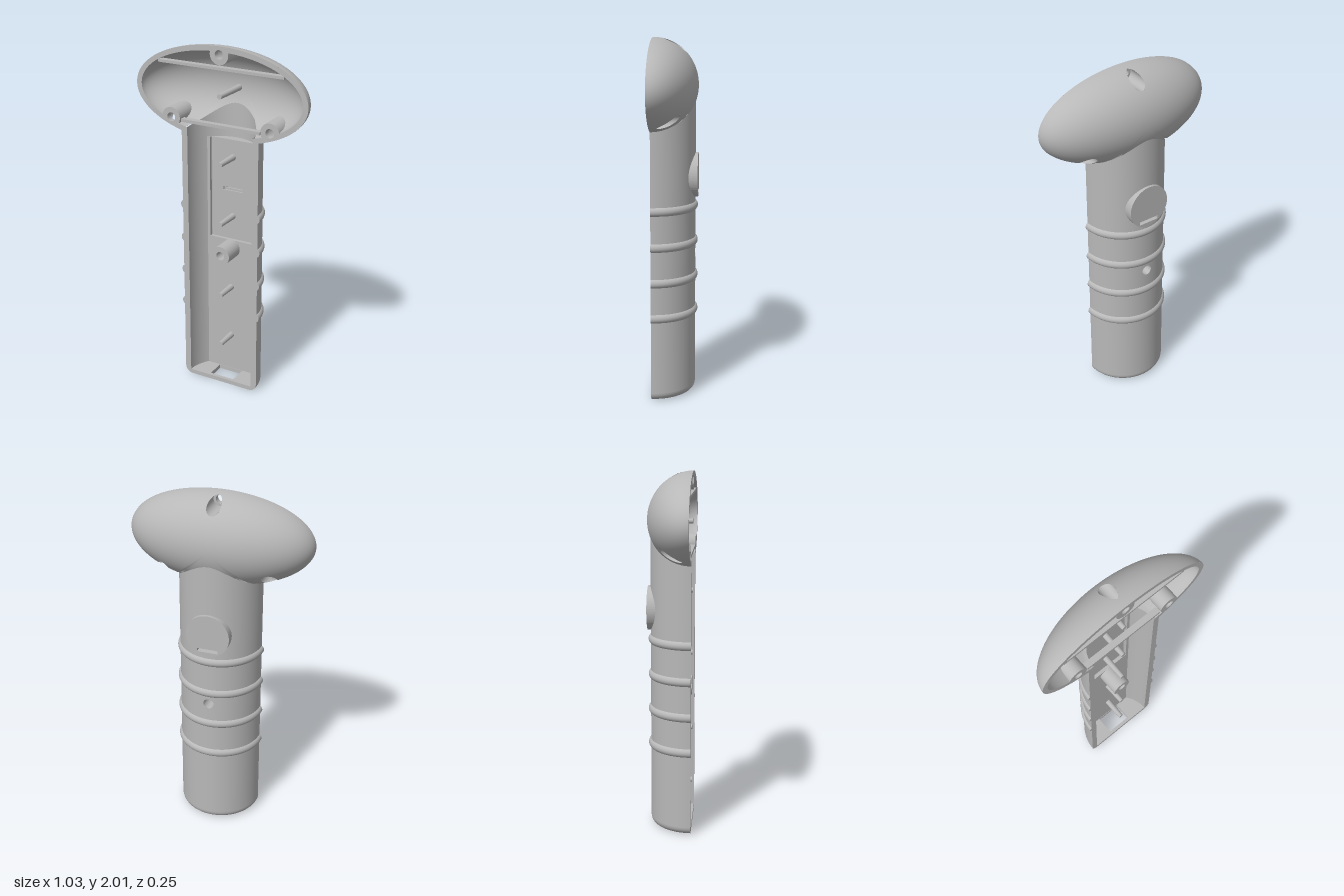
import * as THREE from 'three';
import { mergeVertices } from 'three/addons/utils/BufferGeometryUtils.js';

const FRONT = 0.125;                 // z of the open front plane; depth d is measured back from it
const HEAD_Y = 1.742;
const OUT = { rx: 0.515, ry: 0.258, rz: 0.25, r: 0.235 };   // head radii and handle radius
const INN = { rx: 0.485, ry: 0.229, rz: 0.22, r: 0.2 };
const FLOOR = 0.13, RECESS = 0.15, PLATE_BACK = 0.16;
const HEAD_SCREWS = [[-0.3, 1.577], [0.3, 1.577], [0, 1.955]];
const GRIP_SCREW = [[0, 0.81]];

const range = (a, b, n) => Array.from({ length: n + 1 }, (_, i) => a + (b - a) * i / n);
const headDepth = (e, x, y) =>
  e.rz * Math.sqrt(Math.max(0, 1 - (x / e.rx) ** 2 - ((y - HEAD_Y) / e.ry) ** 2));
const tubeDepth = (e, x) => Math.sqrt(Math.max(0, e.r ** 2 - x ** 2));

// Grid surface from fn(u, v) -> [x, y, depth]; round holes are cut cleanly by
// pushing the inner points of edge cells out onto each circle.
function grid(us, vs, fn, { holes = [], radius = 0, depth = () => 0, skip = () => false } = {}) {
  const pos = [], inside = [], idx = [];
  for (const v of vs) for (const u of us) {
    let [x, y, d] = fn(u, v);
    let hit = false;
    for (const [cx, cy] of holes) {
      const l = Math.hypot(x - cx, y - cy);
      if (l < radius && d >= 0) {
        const k = radius / Math.max(l, 1e-5);
        x = cx + (x - cx) * k;
        y = cy + (y - cy) * k;
        d = depth(x, y);
        hit = true;
      }
    }
    pos.push(x, y, FRONT - d);
    inside.push(hit);
  }
  const w = us.length;
  for (let j = 0; j < vs.length - 1; j++) for (let i = 0; i < w - 1; i++) {
    const a = j * w + i, b = a + 1, c = a + w, e = c + 1;
    if (inside[a] && inside[b] && inside[c] && inside[e]) continue;
    if (skip((pos[3 * a] + pos[3 * e]) / 2, (pos[3 * a + 1] + pos[3 * e + 1]) / 2)) continue;
    idx.push(a, b, e, a, e, c);
  }
  const g = new THREE.BufferGeometry();
  g.setAttribute('position', new THREE.Float32BufferAttribute(pos, 3));
  g.setIndex(idx);
  const m = mergeVertices(g, 1e-5);
  m.computeVertexNormals();
  return m;
}

// Half ellipsoid, trimmed where the handle joins it
function headSurface(e, radius) {
  return grid(range(0, 2 * Math.PI, 180), range(0, 1, 70), (a, v) => {
    let s = 1;
    const den = e.rz ** 2 - (e.rx * Math.cos(a)) ** 2;
    if (Math.sin(a) < 0 && den > 0) s = Math.min(1, Math.sqrt((e.rz ** 2 - e.r ** 2) / den));
    const p = v * Math.asin(s);
    return [e.rx * Math.sin(p) * Math.cos(a), HEAD_Y + e.ry * Math.sin(p) * Math.sin(a), e.rz * Math.cos(p)];
  }, { holes: HEAD_SCREWS, radius, depth: (x, y) => headDepth(e, x, y) });
}

// Half tube running up to the head surface
function handleSurface(e, y0) {
  const rows = [y0, 0.4, ...range(0.76, 0.86, 14), ...range(1.1, 1.2, 20), 1.4, 2];
  return grid(range(-Math.PI / 2, Math.PI / 2, 96), rows, (t, y) => {
    const x = e.r * Math.sin(t), d = e.r * Math.cos(t);
    const top = HEAD_Y - e.ry * Math.sqrt(Math.max(0, 1 - (x / e.rx) ** 2 - (d / e.rz) ** 2));
    return [x, y > 1.9 ? top : y, d];
  }, {
    holes: GRIP_SCREW, radius: 0.03, depth: x => tubeDepth(e, x),
    skip: (x, y) => Math.abs(x) < 0.062 && Math.abs(y - 1.16) < 0.012,
  });
}

// Cylinder wall along z between two depth rules
const wall = (cx, cy, r, d0, d1) => grid(range(0, 2 * Math.PI, 40), [0, 1], (a, v) => {
  const x = cx + r * Math.cos(a), y = cy + r * Math.sin(a);
  return [x, y, v ? d1(x, y) : d0];
});

// Flat ring, kept within the head outline when asked
const ring = (cx, cy, r0, r1, d, clip) => grid(range(0, 2 * Math.PI, 40), [r0, r1], (a, r) => {
  const x = cx + r * Math.cos(a), y = cy + r * Math.sin(a);
  const k = clip ? Math.max(1, Math.hypot(x / OUT.rx, (y - HEAD_Y) / OUT.ry)) : 1;
  return [x / k, HEAD_Y + (y - HEAD_Y) / k, d];
});

const polygon = pts => new THREE.Shape(pts.map(p => new THREE.Vector2(...p)));
const rect = (x0, y0, x1, y1) => polygon([[x0, y0], [x1, y0], [x1, y1], [x0, y1]]);

// Flat plate between two depths
function plate(shape, d0, d1) {
  const g = new THREE.ExtrudeGeometry(shape, { depth: d1 - d0, bevelEnabled: false, curveSegments: 32 });
  return g.translate(0, 0, FRONT - d1);
}

export function createModel() {
  const model = new THREE.Group();
  const grey = new THREE.MeshStandardMaterial({ color: 0xb8b8b8, side: THREE.DoubleSide });
  grey.name = 'grey plastic';
  const add = (name, geometry) => {
    const m = new THREE.Mesh(geometry, grey);
    m.name = name;
    model.add(m);
    return m;
  };

  // Shell surfaces
  add('headOuter', headSurface(OUT, 0.038));
  add('headInner', headSurface(INN, 0.04));
  add('handleOuter', handleSurface(OUT, 0.045));
  add('handleInner', handleSurface(INN, 0.02));

  // Front edges of head and handle
  const a0 = Math.acos(INN.r / INN.rx);
  add('headRim', grid(range(-a0, Math.PI + a0, 240), range(0, 1, 5), (a, v) => [
    (INN.rx + (OUT.rx - INN.rx) * v) * Math.cos(a),
    HEAD_Y + (INN.ry + (OUT.ry - INN.ry) * v) * Math.sin(a), 0,
  ], { holes: HEAD_SCREWS, radius: 0.025 }));
  const rim = new THREE.Shape();
  rim.moveTo(-0.235, 1.512).lineTo(-0.235, 0.045);
  rim.absarc(-0.19, 0.045, 0.045, Math.PI, 1.5 * Math.PI);
  rim.absarc(0.19, 0.045, 0.045, 1.5 * Math.PI, 2 * Math.PI);
  rim.lineTo(0.235, 1.512).lineTo(0.2, 1.532).lineTo(0.2, 0.025).lineTo(-0.2, 0.025).lineTo(-0.2, 1.532);
  add('handleRim', new THREE.ShapeGeometry(rim).translate(0, 0, FRONT));

  // Rounded bottom edge, and end plate with a cable opening
  const halfLathe = pts => new THREE.LatheGeometry(pts, 64, Math.PI / 2, Math.PI).translate(0, 0, FRONT);
  add('bottomEdge', halfLathe(range(-Math.PI / 2, 0, 10).map(a =>
    new THREE.Vector2(0.19 + 0.045 * Math.cos(a), 0.045 + 0.045 * Math.sin(a)))));
  const end = new THREE.Shape();
  end.absarc(0, 0, 0.2, 0, Math.PI);
  end.holes.push(rect(-0.075, 0.02, 0.075, FLOOR - 0.002));
  add('endPlate', new THREE.ExtrudeGeometry(end, { depth: 0.024, bevelEnabled: false, curveSegments: 48 })
    .rotateX(-Math.PI / 2).translate(0, 0.001, FRONT));

  // Grip bands
  for (const y of [0.48, 0.68, 0.88, 1.08]) {
    add('gripBand', halfLathe(range(-1.4, 1.4, 14).map(a =>
      new THREE.Vector2(0.22 + 0.028 * Math.cos(a), y + 0.028 * Math.sin(a)))));
    for (const s of [-1, 1]) {
      add('gripBandEnd', new THREE.CircleGeometry(0.028, 24, s > 0 ? -Math.PI / 2 : Math.PI / 2, Math.PI)
        .translate(s * 0.22, y, FRONT));
    }
  }

  // Flat floor inside the handle, with a recess holding a slot
  const floor = polygon([[-0.154, 0.02], [0.154, 0.02], [0.154, 1.45], [0.135, 1.45],
    [0.135, 0.86], [-0.135, 0.86], [-0.135, 1.45], [-0.154, 1.45]]);
  floor.holes.push(new THREE.Path().absarc(0, 0.81, 0.025, 0, 2 * Math.PI));
  add('handleFloor', plate(floor, FLOOR, PLATE_BACK));
  const recess = rect(-0.14, 0.855, 0.14, 1.45);
  recess.holes.push(rect(-0.06, 1.15, 0.06, 1.17));
  add('recessFloor', plate(recess, RECESS, PLATE_BACK));
  add('floorEnd', grid(range(-0.15, 0.15, 24), [0, 1], (x, v) =>
    [x, 1.45, v ? tubeDepth(INN, x) : Math.min(RECESS, tubeDepth(INN, x))]));

  // Round pad on the back, with the slot passing through
  const pad = new THREE.Shape().absarc(0, 1.25, 0.123, 0, 2 * Math.PI);
  pad.holes.push(rect(-0.06, 1.15, 0.06, 1.17));
  add('backPad', plate(pad, 0.185, 0.25));

  // Screw bosses of the head with counterbores from the back
  for (const [x, y] of HEAD_SCREWS) {
    add('headBoss', wall(x, y, 0.055, 0, (px, py) => headDepth(INN, px, py)));
    add('headBossFace', ring(x, y, 0.025, 0.055, 0, true));
    add('headScrewHole', wall(x, y, 0.025, 0, () => 0.035));
    add('headCounterboreFloor', ring(x, y, 0.025, 0.038, 0.035));
    add('headCounterbore', wall(x, y, 0.038, 0.035, (px, py) => headDepth(OUT, px, py)));
  }

  // Screw boss of the handle
  const [sx, sy] = GRIP_SCREW[0];
  add('handleBoss', wall(sx, sy, 0.055, 0.005, () => FLOOR));
  add('handleBossFace', ring(sx, sy, 0.025, 0.055, 0.005));
  add('handleScrewHole', wall(sx, sy, 0.025, 0.005, () => PLATE_BACK));
  add('handleCounterboreFloor', ring(sx, sy, 0.025, 0.03, PLATE_BACK));
  add('handleCounterbore', wall(sx, sy, 0.03, PLATE_BACK, x => tubeDepth(OUT, x)));

  // Tapered locating pins
  for (const [y, d] of [[0.25, FLOOR], [0.565, FLOOR], [1, RECESS], [1.35, RECESS], [1.73, 0.222]]) {
    add('locatingPin', new THREE.CylinderGeometry(0.014, 0.018, d, 20)
      .rotateX(Math.PI / 2).translate(0, y, FRONT - d / 2 - 0.002));
  }

  // Cross ribs of the head
  for (const [y, half, h] of [[1.88, 0.375, 0.015], [1.566, 0.24, 0.017]]) {
    add('headRib', new THREE.BoxGeometry(half * 2, h, 0.035).translate(0, y, FRONT - 0.0185));
  }
  return model;
}
